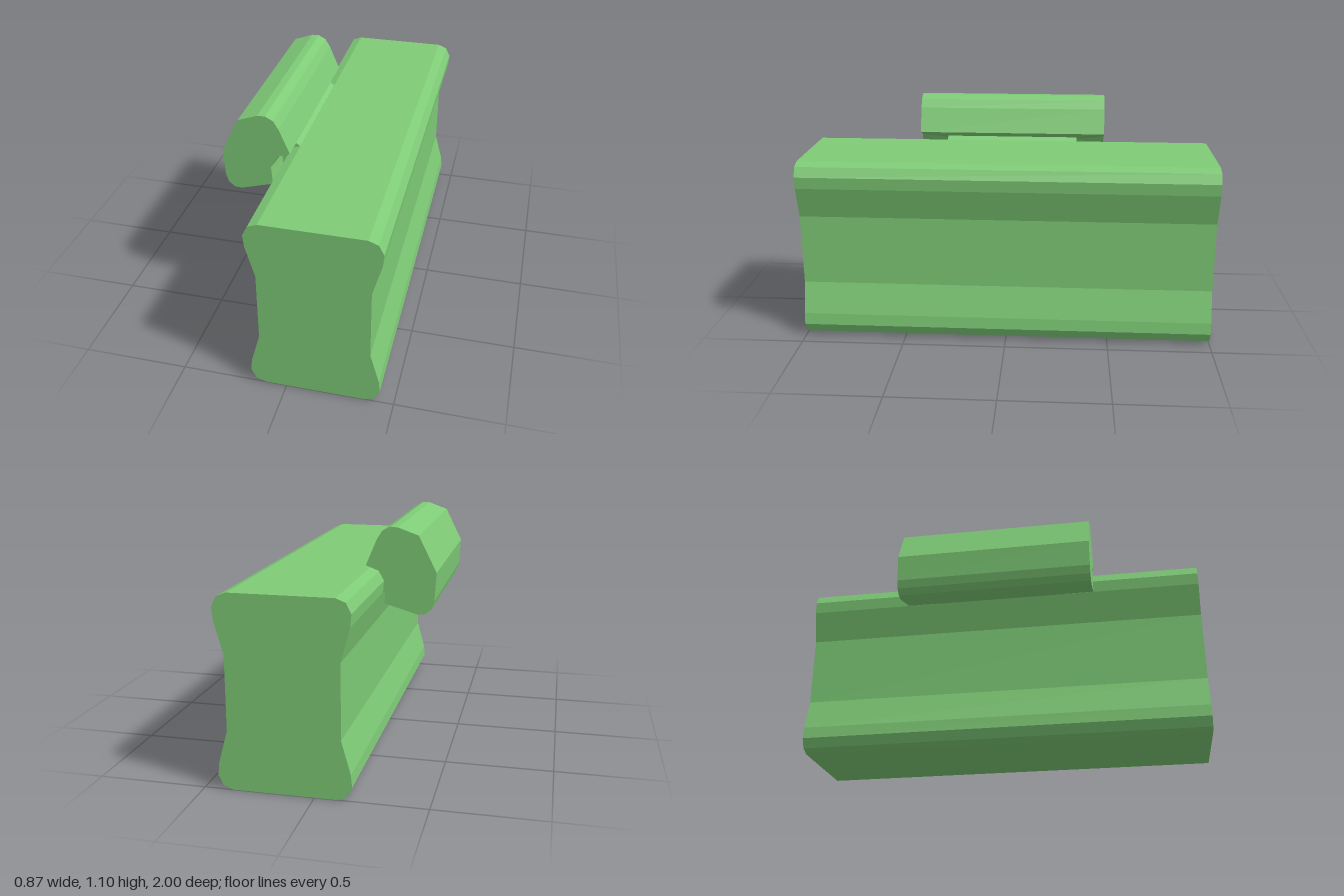
import * as THREE from 'three';

const material = new THREE.MeshStandardMaterial({ color: 0x7fcc77, flatShading: true });

// Extrudes a profile in x,y along z, centred on z = 0
function prism(name, points, halfLength) {
  const shape = new THREE.Shape(points.map(([x, y]) => new THREE.Vector2(x, y)));
  const geometry = new THREE.ExtrudeGeometry(shape, { depth: 2 * halfLength, bevelEnabled: false });
  geometry.translate(0, 0, -halfLength);
  const mesh = new THREE.Mesh(geometry, material);
  mesh.name = name;
  return mesh;
}

// Closed loop following a profile line at +z and back at -z
function loopAround(line, z) {
  return [...line.map(([x, y]) => [x, y, z]), ...[...line].reverse().map(([x, y]) => [x, y, -z])];
}

// Band of quads joining two closed loops
function band(name, a, b) {
  const positions = [];
  for (let i = 0; i < a.length; i++) {
    const j = (i + 1) % a.length;
    for (const p of [a[i], a[j], b[j], a[i], b[j], b[i]]) positions.push(...p);
  }
  const geometry = new THREE.BufferGeometry();
  geometry.setAttribute('position', new THREE.Float32BufferAttribute(positions, 3));
  geometry.computeVertexNormals();
  const bandMaterial = material.clone();
  bandMaterial.side = THREE.DoubleSide;
  const mesh = new THREE.Mesh(geometry, bandMaterial);
  mesh.name = name;
  return mesh;
}

export function createModel() {
  const group = new THREE.Group();
  group.name = 'waistedBarWithSideGrip';

  // Waisted bar: one quarter profile (offset from the centre line, height), mirrored twice
  const cx = 0.134, height = 0.886;
  const quarter = [[0.234, 0], [0.278, 0.017], [0.301, 0.063], [0.296, 0.12], [0.254, 0.272]];
  const side = [...quarter, ...[...quarter].reverse().map(([x, y]) => [x, height - y])];
  const bar = [
    ...side.map(([x, y]) => [cx + x, y]),
    ...[...side].reverse().map(([x, y]) => [cx - x, y]),
  ];
  group.add(prism('bar', bar, 1));

  // Side grip, hollowed where it faces the bar's upper corner
  const hollow = [[-0.11, 0.922], [-0.17, 0.899], [-0.204, 0.838], [-0.197, 0.748]];
  const grip = [
    ...hollow, [-0.355, 0.702], [-0.388, 0.705], [-0.417, 0.73], [-0.429, 0.77], [-0.437, 0.9],
    [-0.353, 1.067], [-0.258, 1.101], [-0.222, 1.102], [-0.185, 1.083], [-0.16, 1.042],
  ];
  group.add(prism('grip', grip, 0.478));

  // Tapered seat narrowing from the hollow to the neck
  const seat = [[-0.126, 0.901], [-0.171, 0.884], [-0.192, 0.835], [-0.189, 0.778]];
  group.add(band('gripTaper', loopAround(hollow, 0.478), loopAround(seat, 0.335)));

  // Neck joining the seat to the bar
  const neck = [...seat, [-0.16, 0.765], [-0.14, 0.85], [-0.1, 0.885]];
  group.add(prism('neck', neck, 0.335));

  return group;
}
